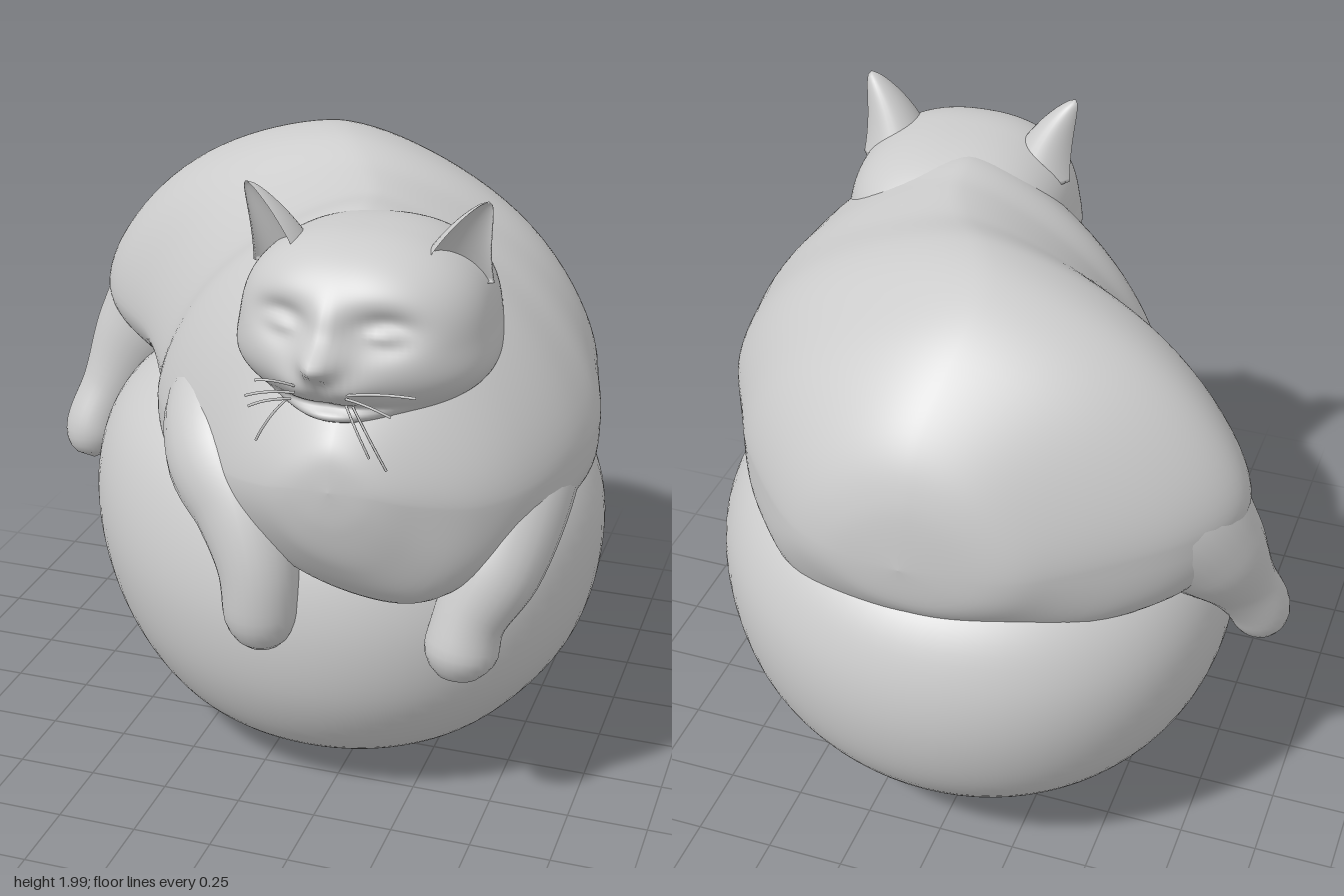
import * as THREE from 'three';
import { mergeVertices } from 'three/addons/utils/BufferGeometryUtils.js';

const material = new THREE.MeshStandardMaterial({ color: 0xcccccc, roughness: 0.8 });
const { cos, sin, sqrt, abs, sign, exp, max, min, PI } = Math;
const { smoothstep, lerp } = THREE.MathUtils;

function part(name, geometry) {
  const mesh = new THREE.Mesh(geometry, material);
  mesh.name = name;
  return mesh;
}

// Smooth interpolation of a row of key values, t in 0..1
function spline(values, t) {
  const f = t * (values.length - 1);
  const i = min(Math.floor(f), values.length - 2);
  const u = f - i;
  const at = (k) => values[max(0, min(values.length - 1, k))];
  const [a, b, c, d] = [at(i - 1), at(i), at(i + 1), at(i + 2)];
  return b + 0.5 * u * (c - a + u * (2 * a - 5 * b + 4 * c - d + u * (3 * (b - c) + d - a)));
}
const section = (keys, t) => keys[0].map((_, c) => spline(keys.map((k) => k[c]), t));

// Skin a closed surface over rings; point(t, angle) returns [x, y, z]
function loft(point, rows, cols) {
  const position = [], index = [];
  for (let i = 0; i <= rows; i++) {
    for (let j = 0; j < cols; j++) {
      position.push(...point(i / rows, (j / cols) * 2 * PI));
      if (i === rows) continue;
      const a = i * cols + j, b = i * cols + ((j + 1) % cols);
      index.push(a, b, a + cols, b, b + cols, a + cols);
    }
  }
  const g = new THREE.BufferGeometry();
  g.setAttribute('position', new THREE.Float32BufferAttribute(position, 3));
  g.setIndex(index);
  g.computeVertexNormals();
  return g;
}

// Shared-vertex version of a built-in shape, reshaped by rule(x, y, z)
function reshape(source, rule) {
  source.deleteAttribute('uv');
  source.deleteAttribute('normal');
  const g = mergeVertices(source);
  const p = g.attributes.position;
  for (let i = 0; i < p.count; i++) p.setXYZ(i, ...rule(p.getX(i), p.getY(i), p.getZ(i)));
  g.computeVertexNormals();
  return g;
}

// Rounded boulder: y, xMin, xMax, zMin, zMax
const BOULDER = [
  [0.0, 0.15, 0.15, 0, 0], [0.01, -0.12, 0.4, -0.3, 0.3], [0.07, -0.36, 0.58, -0.52, 0.46],
  [0.18, -0.55, 0.74, -0.75, 0.62], [0.38, -0.7, 0.89, -0.92, 0.73], [0.62, -0.78, 0.95, -0.99, 0.76],
  [0.85, -0.78, 0.93, -0.97, 0.71], [1.04, -0.69, 0.81, -0.86, 0.6], [1.18, -0.5, 0.56, -0.62, 0.4],
  [1.25, -0.25, 0.34, -0.35, 0.2], [1.27, 0.05, 0.05, -0.09, -0.09],
];
function boulderPoint(t, a) {
  const [y, x0, x1, z0, z1] = section(BOULDER, t);
  const s = -sin(a);
  const lean = 0.057 * s * (x1 - x0);
  return [(x0 + x1) / 2 + cos(a) * (x1 - x0) / 2 + lean, max(0, y), (z0 + z1) / 2 + s * (z1 - z0) / 2];
}

// Heavy torso from rump to chest: z, xMin, xMax, widest y, top y, bottom y
const TORSO = [
  [-0.915, 0.04, 0.04, 1.22, 1.22, 1.22], [-0.89, -0.24, 0.28, 1.22, 1.44, 1.06], [-0.8, -0.43, 0.46, 1.23, 1.62, 1.0],
  [-0.6, -0.72, 0.65, 1.27, 1.81, 0.98], [-0.4, -0.86, 0.77, 1.29, 1.9, 0.98], [-0.2, -0.79, 0.87, 1.28, 1.92, 0.98],
  [0.0, -0.59, 0.93, 1.25, 1.87, 0.98], [0.2, -0.45, 0.97, 1.2, 1.86, 0.95], [0.4, -0.38, 0.95, 1.18, 1.85, 0.88],
  [0.6, -0.22, 0.86, 1.14, 1.75, 0.8], [0.75, -0.04, 0.74, 1.13, 1.52, 0.79], [0.86, 0.12, 0.58, 1.16, 1.38, 0.93],
  [0.91, 0.23, 0.47, 1.19, 1.3, 1.07], [0.925, 0.35, 0.35, 1.2, 1.2, 1.2],
];
function torsoPoint(t, a) {
  const [z, x0, x1, mid, top, low] = section(TORSO, t);
  const s = sin(a), c = cos(a);
  // flesh sags over the boulder along the left flank and, less, the back
  const flank = smoothstep(c, -0.3, 0.3);
  const back = 1 - smoothstep(z, -0.55, -0.3);
  const sag = max(flank, 0.6 * back) * smoothstep(z, -0.9, -0.7);
  const shoulder = smoothstep(z, 0.05, 0.22);
  const boxy = max(sag, 0.7 * shoulder) * (1 - smoothstep(z, 0.4, 0.65));
  const power = 2 / (s > 0 ? 1.7 - 0.12 * smoothstep(z, -0.1, 0.3) : 2 + 1.6 * boxy);
  const shape = (v) => sign(v) * abs(v) ** power;
  const height = s > 0 ? top - mid : mid - low + 0.12 * sag * (1 - smoothstep(z, 0.05, 0.35));
  const chest = 0.12 * max(0, -s) ** 2 * smoothstep(z, 0.4, 0.7) * (1 - smoothstep(z, 0.78, 0.92));
  const lump = 1 + 0.006 * sin(7 * z + 5 * a) * sin(9 * z - 3 * a);
  return [(x0 + x1) / 2 + shape(c) * lump * (x1 - x0) / 2 + chest, mid + shape(s) * lump * height, z];
}

// Tapered limb along a path of [x, y, z, radius] with rounded ends
function limb(name, keys) {
  const rows = 40;
  const curve = new THREE.CatmullRomCurve3(keys.map((k) => new THREE.Vector3(...k)));
  const frames = curve.computeFrenetFrames(rows);
  return part(name, loft((t, a) => {
    const i = Math.round(t * rows);
    const end = max(0, (t - 0.88) / 0.12, 1 - t / 0.2);
    const u = curve.getUtoTmapping(t);
    const r = spline(keys.map((k) => k[3]), u) * sqrt(max(0, 1 - end * end));
    const p = curve.getPoint(u)
      .addScaledVector(frames.normals[i], r * cos(a))
      .addScaledVector(frames.binormals[i], r * sin(a));
    return [p.x, p.y, p.z];
  }, rows, 28));
}

// Face relief: x, y, width, height, forward push
const RELIEF = [
  [0.33, 1.5, 0.16, 0.09, 0.06], [0.32, 1.585, 0.06, 0.045, 0.08], [0.32, 1.65, 0.055, 0.09, 0.035],
  [0.25, 1.5, 0.06, 0.05, 0.02], [0.4, 1.5, 0.06, 0.05, 0.02], [0.325, 1.51, 0.014, 0.05, -0.025],
  [0.18, 1.66, 0.09, 0.055, -0.06], [0.48, 1.66, 0.09, 0.055, -0.06],
  [0.18, 1.65, 0.055, 0.026, 0.035], [0.48, 1.65, 0.055, 0.026, 0.035],
  [0.33, 1.435, 0.14, 0.014, -0.03], [0.33, 1.39, 0.17, 0.04, 0.09],
];
function headPoint(px, py, pz) {
  // squarish skull running back into the neck, with full cheeks
  const n = 2.3;
  const k = (abs(px) ** n + abs(py) ** n + abs(pz) ** n) ** (-1 / n);
  const y = 1.61 + k * py * 0.265;
  const cheek = 1 + 0.1 * exp(-(((y - 1.48) / 0.1) ** 2));
  const x = 0.355 + 0.365 * cheek * k * px;
  let z = 0.56 + (pz > 0 ? 0.315 : 0.45) * k * pz;
  for (const [cx, cy, w, h, push] of RELIEF) {
    z += push * min(1, max(0, pz) * 2.5) * exp(-(((x - cx) / w) ** 2) - ((y - cy) / h) ** 2);
  }
  return [x, y, z];
}

// Rounded, cupped ear, hollow toward the front, tip leaning outward
function ear(name, x, z, side) {
  const mesh = part(name, reshape(new THREE.CylinderGeometry(0, 1, 1, 32, 24), (px, py, pz) => {
    const h = py + 0.5;
    const round = max(1 - h, 1e-4) ** -0.4;
    return [
      px * 0.12 * round + side * 0.075 * h * h,
      h * 0.26,
      pz * round * (pz > 0 ? -0.06 : 0.15) + 0.06 * h,
    ];
  }));
  mesh.position.set(x, 1.73, z);
  mesh.rotation.y = side * 0.55;
  return mesh;
}

// Whiskers: start x, y, then end x, y
const WHISKERS = [
  [0.25, 1.49, 0.12, 1.48], [0.24, 1.47, 0.13, 1.45], [0.23, 1.47, 0.15, 1.35], [0.25, 1.51, 0.15, 1.53],
  [0.4, 1.5, 0.61, 1.535], [0.4, 1.49, 0.54, 1.47], [0.42, 1.47, 0.53, 1.31], [0.4, 1.47, 0.48, 1.34],
];
function whisker([x0, y0, x1, y1]) {
  const curve = new THREE.QuadraticBezierCurve3(
    new THREE.Vector3(x0, y0, 0.92),
    new THREE.Vector3(lerp(x0, x1, 0.5), lerp(y0, y1, 0.5) + 0.025, 0.97),
    new THREE.Vector3(x1, y1, 0.96));
  return part('whisker', new THREE.TubeGeometry(curve, 10, 0.004, 5));
}

export function createModel() {
  const model = new THREE.Group();
  model.name = 'catOnBoulder';
  model.add(part('boulder', loft(boulderPoint, 60, 80)));

  const cat = new THREE.Group();
  cat.name = 'cat';
  cat.add(part('torso', loft(torsoPoint, 96, 96)));

  // Limbs hanging over the boulder
  cat.add(limb('leftFrontLeg', [[0.62, 1.17, 0.02, 0.19], [0.72, 1.12, 0.24, 0.21], [0.76, 1.02, 0.44, 0.185],
    [0.76, 0.87, 0.58, 0.14], [0.7, 0.72, 0.64, 0.11], [0.68, 0.6, 0.66, 0.115], [0.675, 0.515, 0.67, 0.105]]));
  cat.add(limb('rightFrontLeg', [[0.0, 1.3, 0.16, 0.22], [-0.1, 1.2, 0.38, 0.23], [-0.08, 1.1, 0.55, 0.2],
    [0.01, 0.98, 0.66, 0.16], [0.07, 0.83, 0.73, 0.125], [0.08, 0.68, 0.74, 0.115], [0.08, 0.565, 0.72, 0.105]]));
  cat.add(limb('rightHindLeg', [[-0.4, 1.4, -0.42, 0.24], [-0.6, 1.26, -0.39, 0.24], [-0.74, 1.09, -0.34, 0.18],
    [-0.83, 0.92, -0.27, 0.115], [-0.885, 0.78, -0.21, 0.1], [-0.88, 0.665, -0.18, 0.1]]));

  const head = new THREE.Group();
  head.name = 'head';
  head.add(part('face', reshape(new THREE.SphereGeometry(1, 112, 88), headPoint)));
  head.add(ear('rightEar', 0.1, 0.61, -1), ear('leftEar', 0.61, 0.59, 1));
  head.add(...WHISKERS.map(whisker));
  cat.add(head);

  model.add(cat);
  return model;
}
